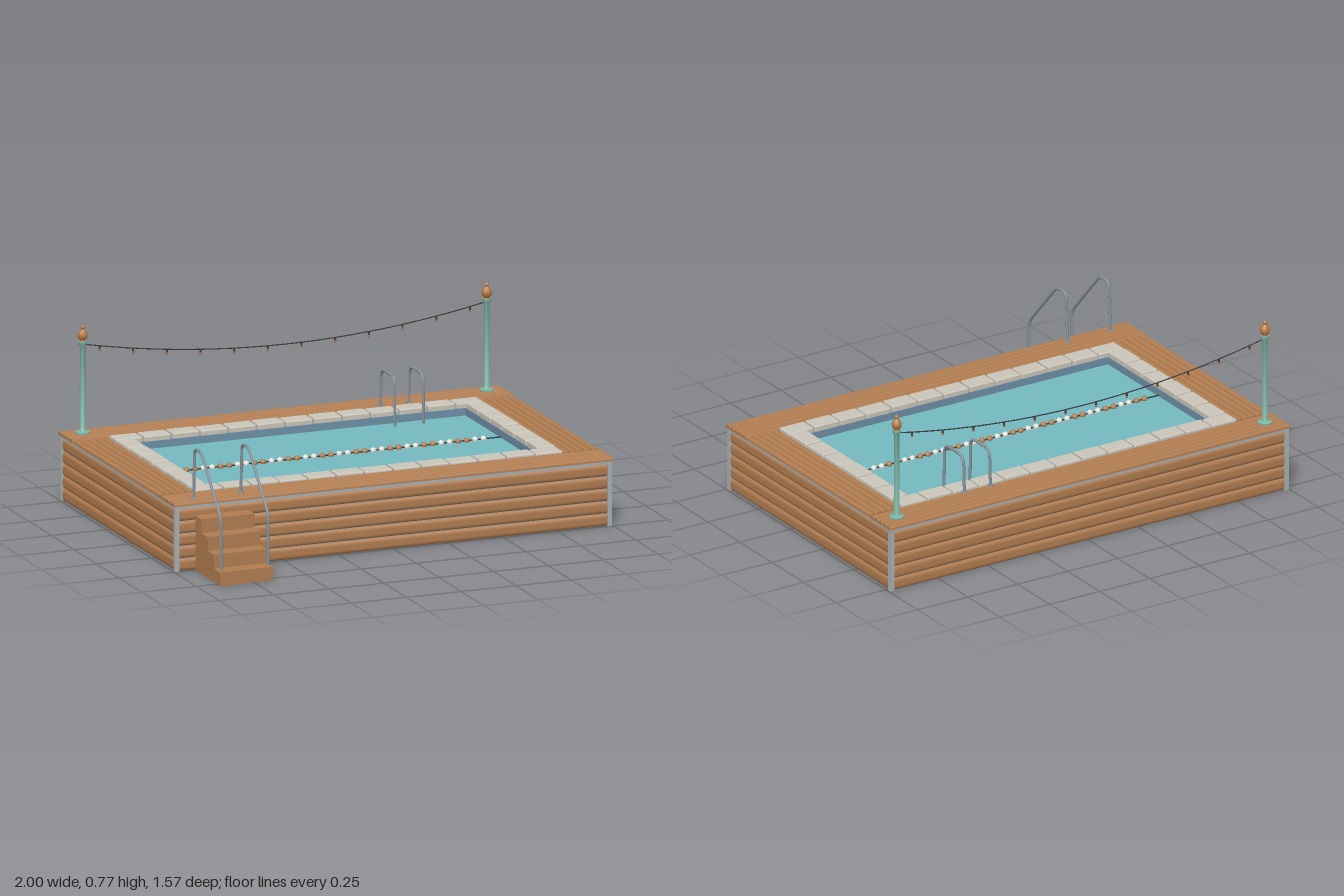
import * as THREE from 'three';
import { toCreasedNormals } from 'three/addons/utils/BufferGeometryUtils.js';
import { RoundedBoxGeometry } from 'three/addons/geometries/RoundedBoxGeometry.js';

const mat = (name, color, side = THREE.FrontSide) => {
  const m = new THREE.MeshStandardMaterial({ color, side });
  m.name = name;
  return m;
};

const X = new THREE.Vector3(1, 0, 0), Y = new THREE.Vector3(0, 1, 0), Z = new THREE.Vector3(0, 0, 1);
const CZ = -0.14, HX = 1, HZ = 0.645;      // deck centre and half sizes
const DECK = 0.16, STONE = 0.087, TOP = 0.3, WATER = 0.25;

// Plank with a rounded outer face: width on x, thickness on y, length on z
function plankGeometry(length, width, thick) {
  const h = width / 2, e = thick * 0.4;
  const s = new THREE.Shape();
  s.moveTo(-h, 0);
  s.lineTo(h, 0);
  s.lineTo(h, e);
  s.bezierCurveTo(h * 0.85, thick * 1.1, -h * 0.85, thick * 1.1, -h, e);
  const g = new THREE.ExtrudeGeometry(s, { depth: length, bevelEnabled: false, curveSegments: 8 });
  return toCreasedNormals(g.translate(0, 0, -length / 2), 0.6);
}

export function createModel() {
  const model = new THREE.Group();
  const wood = mat('wood', 0xb07c50);
  const stone = mat('stone', 0xcbc5b9);
  const water = mat('water', 0x74b8c0);
  const shellGrey = mat('shell grey', 0xa6b0b5);
  const liner = mat('liner blue', 0x6d8fa6);
  const steel = mat('steel', 0x879299);
  const teal = mat('teal paint', 0x7db5a5);
  const copper = mat('copper', 0xb87946);
  const white = mat('white float', 0xe6e0d6);
  const dark = mat('dark cable', 0x3c3a3a);

  const add = (name, geo, material, x = 0, y = 0, z = 0, parent = model) => {
    const m = new THREE.Mesh(geo, material);
    m.name = name;
    m.position.set(x, y, z);
    parent.add(m);
    return m;
  };
  const box = (w, h, d) => new THREE.BoxGeometry(w, h, d);
  const ring = (hx, hz, ix, iz, height) => {
    const rect = (P, a, b) => new P([[-a, -b], [a, -b], [a, b], [-a, b]].map(p => new THREE.Vector2(...p)));
    const s = rect(THREE.Shape, hx, hz);
    s.holes.push(rect(THREE.Path, ix, iz));
    return new THREE.ExtrudeGeometry(s, { depth: height, bevelEnabled: false }).rotateX(-Math.PI / 2);
  };

  // Pool basin
  const ix = HX - DECK - STONE, iz = HZ - DECK - STONE;
  add('shell', ring(0.978, HZ - 0.022, ix + 0.008, iz + 0.008, 0.28), shellGrey, 0, 0, CZ);
  add('shellFloor', box(1.956, 0.01, 2 * (HZ - 0.022)), shellGrey, 0, 0.006, CZ);
  add('shellRim', ring(0.993, HZ - 0.007, 0.97, HZ - 0.03, 0.014), shellGrey, 0, 0.27, CZ);
  add('liner', ring(ix + 0.008, iz + 0.008, ix, iz, 0.27), liner, 0, 0.012, CZ);
  add('water', box(2 * ix, 0.01, 2 * iz), water, 0, WATER - 0.005, CZ);

  // Wall siding on four sides, with corner trims
  for (let k = 0; k < 4; k++) {
    const side = new THREE.Group();
    side.name = 'wallSiding';
    side.position.z = CZ;
    side.rotation.y = k * Math.PI / 2;
    model.add(side);
    const long = k % 2 === 0;
    const len = 2 * (long ? HX : HZ) - 0.05, out = (long ? HZ : HX) - 0.022;
    const geo = plankGeometry(len, 0.05, 0.014).applyMatrix4(new THREE.Matrix4().makeBasis(Y, Z, X));
    for (let i = 0; i < 5; i++) add('wallPlank', geo, wood, 0, 0.026 + i * 0.054, out, side);
  }
  for (const sx of [-1, 1]) for (const sz of [-1, 1])
    add('cornerTrim', box(0.02, 0.28, 0.02), shellGrey, sx * 0.985, 0.14, CZ + sz * (HZ - 0.015));

  // Deck boards: full length at front and back, between them at the sides
  const n = 5, pitch = DECK / n;
  const longBoard = plankGeometry(2 * HX, pitch - 0.004, 0.018).rotateY(Math.PI / 2);
  const shortBoard = plankGeometry(2 * (HZ - DECK) - 0.006, pitch - 0.004, 0.018);
  for (const s of [-1, 1]) for (let i = 0; i < n; i++) {
    const o = (i + 0.5) * pitch;
    add('deckBoard', longBoard, wood, 0, TOP - 0.017, CZ + s * (HZ - o));
    add('deckBoard', shortBoard, wood, s * (HX - o), TOP - 0.017, CZ);
  }

  // Coping stones around the water
  const sx0 = HX - DECK, sz0 = HZ - DECK;
  const px = 2 * sx0 / 13, pz = 2 * iz / 6;
  const stoneX = new RoundedBoxGeometry(px - 0.008, 0.03, STONE - 0.006, 2, 0.006);
  const stoneZ = new RoundedBoxGeometry(STONE - 0.006, 0.03, pz - 0.008, 2, 0.006);
  for (const s of [-1, 1]) {
    for (let i = 0; i < 13; i++)
      add('copingStone', stoneX, stone, -sx0 + (i + 0.5) * px, 0.289 + 0.001 * (i % 3), CZ + s * (sz0 - STONE / 2));
    for (let i = 0; i < 6; i++)
      add('copingStone', stoneZ, stone, s * (sx0 - STONE / 2), 0.289 + 0.001 * (i % 3), CZ - iz + (i + 0.5) * pz);
  }

  // Lane rope with floats
  add('laneRope', new THREE.CylinderGeometry(0.003, 0.003, 2 * ix, 6).rotateZ(Math.PI / 2), dark, 0, WATER + 0.005, CZ);
  const float = new THREE.SphereGeometry(0.0135, 12, 8);
  for (let i = 0; i < 36; i++)
    add('laneFloat', float, i % 4 < 2 ? copper : white, -0.68 + i * 0.0386, WATER + 0.005, CZ);

  // Entry steps
  for (let i = 0; i < 4; i++) {
    const h = 0.06 * (i + 1);
    add('step', box(0.24, h - 0.014, 0.068), wood, -0.785, (h - 0.014) / 2, 0.75 - i * 0.07);
    add('stepTread', box(0.244, 0.014, 0.07), wood, -0.785, h - 0.007, 0.75 - i * 0.07);
  }

  // Bent tubes: points are [z, y], corners rounded by r
  const bentTube = (name, x, pts, r) => {
    const v = pts.map(([z, y]) => new THREE.Vector3(x, y, z));
    const path = new THREE.CurvePath();
    let from = v[0];
    for (let i = 1; i < v.length - 1; i++) {
      const a = v[i].clone().add(v[i - 1].clone().sub(v[i]).setLength(r));
      const b = v[i].clone().add(v[i + 1].clone().sub(v[i]).setLength(r));
      path.add(new THREE.LineCurve3(from, a));
      path.add(new THREE.QuadraticBezierCurve3(a, v[i], b));
      from = b;
    }
    path.add(new THREE.LineCurve3(from, v[v.length - 1]));
    add(name, new THREE.TubeGeometry(path, 64, 0.0065, 8), steel);
    for (const p of [v[0], v[v.length - 1]])
      if (p.y > 0.29) add('railFlange', new THREE.CylinderGeometry(0.012, 0.013, 0.006, 16), steel, x, TOP + 0.003, p.z);
  };
  for (const x of [-0.89, -0.675])
    bentTube('stepHandrail', x, [[0.752, 0.06], [0.752, 0.285], [0.535, 0.52], [0.462, 0.52], [0.45, 0.3]], 0.03);
  for (const x of [0.41, 0.54])
    bentTube('ladderRail', x, [[-0.645, 0.3], [-0.638, 0.465], [-0.488, 0.465], [-0.485, 0.05]], 0.045);
  for (const y of [0.08, 0.16])
    add('ladderRung', box(0.13, 0.01, 0.03), steel, 0.475, y, -0.485);

  // Lamp posts with copper finials
  const lathe = pts => toCreasedNormals(
    new THREE.LatheGeometry(pts.map(p => new THREE.Vector2(...p)), 20), 0.7);
  const postGeo = lathe([[0, 0], [0.031, 0], [0.031, 0.007], [0.017, 0.012], [0.0125, 0.02], [0.0115, 0.38],
    [0.018, 0.39], [0.018, 0.402], [0, 0.402]]);
  const finialGeo = lathe([[0, 0.398], [0.014, 0.4], [0.012, 0.406], [0.019, 0.414], [0.0215, 0.428], [0.018, 0.441],
    [0.009, 0.45], [0.007, 0.454], [0.0095, 0.462], [0.006, 0.47], [0, 0.473]]);
  const PZ = -0.71;
  for (const s of [-1, 1]) {
    add('lampPost', postGeo, teal, s * 0.92, TOP, PZ);
    add('postFinial', finialGeo, copper, s * 0.92, TOP, PZ);
  }

  // Sagging light string with small bulbs
  const sag = x => 0.595 + 0.093 * (x / 0.92) ** 2;
  const pts = Array.from({ length: 13 }, (_, i) => -0.92 + i * 1.84 / 12).map(x => new THREE.Vector3(x, sag(x), PZ));
  add('lightCable', new THREE.TubeGeometry(new THREE.CatmullRomCurve3(pts), 48, 0.0025, 6), dark);
  const socket = new THREE.CylinderGeometry(0.004, 0.005, 0.013, 8);
  const bulb = new THREE.SphereGeometry(0.006, 10, 8);
  for (let i = 0; i < 12; i++) {
    const x = -0.843 + i * 0.1533;
    add('bulbSocket', socket, dark, x, sag(x) - 0.007, PZ);
    add('bulb', bulb, copper, x, sag(x) - 0.017, PZ);
  }
  return model;
}
